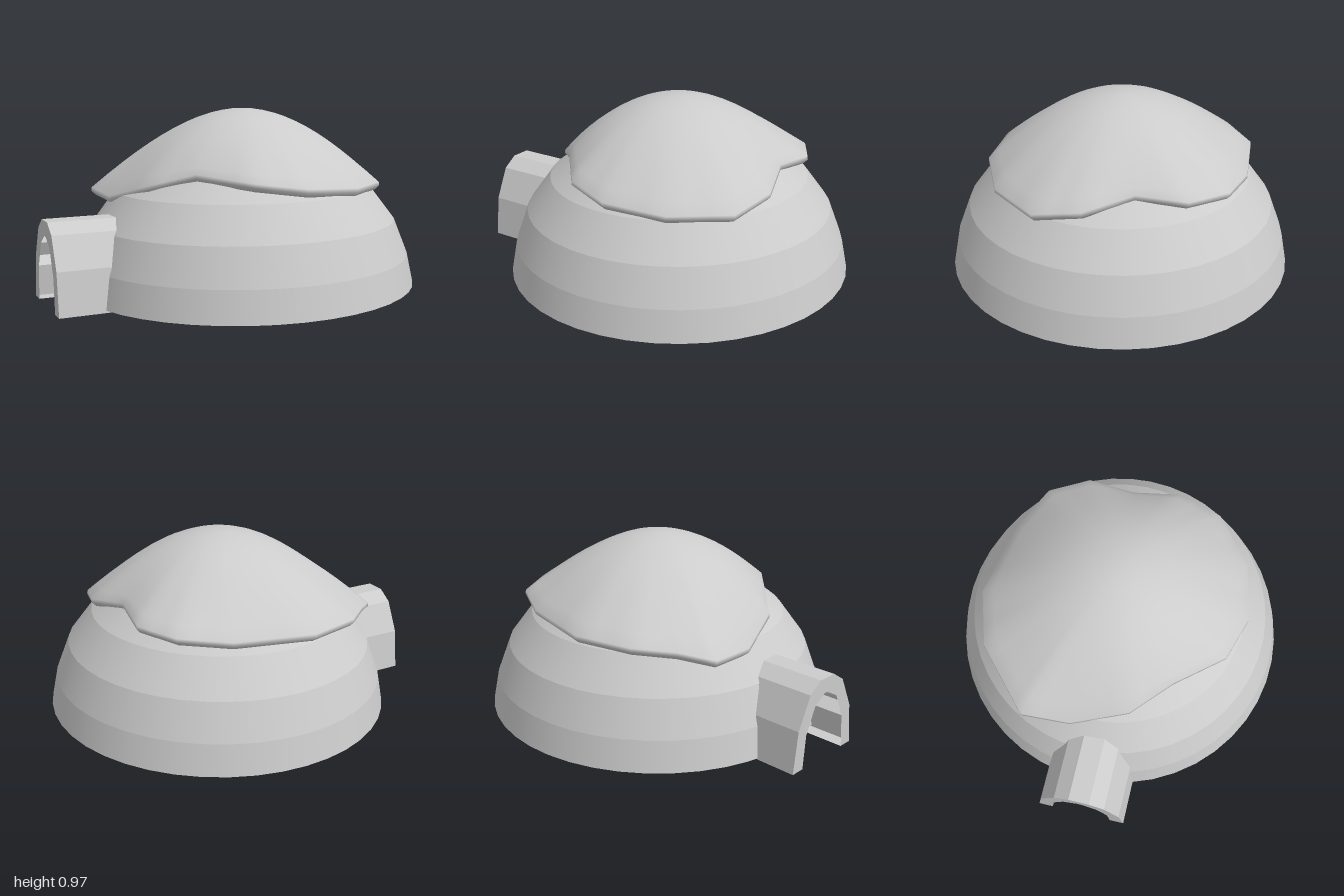
import * as THREE from 'three';

const material = new THREE.MeshStandardMaterial({ color: 0xcccccc, side: THREE.DoubleSide });
const COLUMNS = 22;
const STEP = (Math.PI * 2) / COLUMNS;
const START = THREE.MathUtils.degToRad(12.77);
const DOOR_COLUMN = 17;
const DOOR_ROWS = 2;

// Dome outline [radius, height], one entry per course of blocks
const OUTER = [[0.925, 0.022], [0.893, 0.182], [0.822, 0.37], [0.692, 0.545], [0.5, 0.69], [0.27, 0.81], [0.06, 0.865]];
const INNER = [[0.87, 0.022], [0.843, 0.17], [0.772, 0.345], [0.65, 0.51], [0.47, 0.645], [0.255, 0.76], [0.06, 0.815]];

// Rim of the snow cap [x, z, height], anticlockwise from above
const RIM = [
  [-0.42, -0.56, 0.57], [-0.63, -0.34, 0.56], [-0.7, -0.13, 0.54], [-0.76, 0.05, 0.5],
  [-0.62, 0.27, 0.485], [-0.385, 0.475, 0.565], [-0.13, 0.55, 0.635], [0.165, 0.66, 0.605],
  [0.42, 0.61, 0.575], [0.67, 0.4, 0.555], [0.8, 0.1, 0.55], [0.735, -0.14, 0.59],
  [0.545, -0.33, 0.64], [0.45, -0.57, 0.615], [0.25, -0.7, 0.605], [-0.02, -0.69, 0.58],
];

function addMesh(parent, geometry, name) {
  const mesh = new THREE.Mesh(geometry, material);
  mesh.name = name;
  parent.add(mesh);
  return mesh;
}

// Band turned round the dome, leaving out the doorway column if asked
function band(a, b, withDoor) {
  const points = [a, b].map(([r, y]) => new THREE.Vector2(r, y));
  const count = withDoor ? COLUMNS - 1 : COLUMNS;
  const start = START + (withDoor ? (DOOR_COLUMN + 1) * STEP : 0);
  return new THREE.LatheGeometry(points, count * 2, start, count * STEP);
}

function flatShape(points) {
  return new THREE.ShapeGeometry(new THREE.Shape(points.map(([x, y]) => new THREE.Vector2(x, y))));
}

// Hollow-backed blocks: an outer skin with joints reaching inwards
function buildDome() {
  const dome = new THREE.Group();
  dome.name = 'dome';
  for (let i = 0; i < OUTER.length - 1; i++) {
    addMesh(dome, band(OUTER[i], OUTER[i + 1], i < DOOR_ROWS), 'blockCourse' + (i + 1));
  }
  // Level joints between courses
  OUTER.forEach((outer, i) => {
    addMesh(dome, band(INNER[i], outer, i < DOOR_ROWS), 'courseJoint' + (i + 1));
  });
  // Crown block
  addMesh(dome, band(OUTER[OUTER.length - 1], [0, 0.88], false), 'crown');
  // Upright joints between columns
  const rib = flatShape([...OUTER, ...[...INNER].reverse()]);
  for (let k = 0; k < COLUMNS; k++) {
    addMesh(dome, rib, 'uprightJoint' + (k + 1)).rotation.y = START + k * STEP - Math.PI / 2;
  }
  dome.position.x = 0.075;
  dome.rotation.z = 0.0165;
  return dome;
}

// Flat four-cornered strip running back along z from edge a-b
function strip(a, b, depth) {
  const geometry = new THREE.BufferGeometry();
  geometry.setAttribute('position', new THREE.Float32BufferAttribute(
    [...a, 0, ...b, 0, ...b, -depth, ...a, -depth], 3));
  geometry.setIndex([0, 2, 1, 0, 3, 2]);
  geometry.computeVertexNormals();
  return geometry;
}

// Arched entrance tunnel, wall outline mirrored about its middle
function buildEntrance() {
  const tunnel = new THREE.Group();
  tunnel.name = 'entranceTunnel';
  const mirrored = (half) => [...half, ...half.map(([x, y]) => [-x, y]).reverse()];
  const outer = mirrored([[0.2425, 0], [0.215, 0.22], [0.135, 0.385], [0.055, 0.437]]);
  const inner = mirrored([[0.165, 0], [0.15, 0.18], [0.09, 0.31], [0.015, 0.358]]);
  const depth = 0.45;
  for (let i = 0; i < outer.length - 1; i++) {
    addMesh(tunnel, strip(outer[i], outer[i + 1], depth), 'tunnelPanel' + (i + 1));
  }
  outer.forEach((p, i) => addMesh(tunnel, strip(p, inner[i], depth), 'tunnelJoint' + (i + 1)));
  // Arched faces at the front, between the two block rings and at the back
  const arch = flatShape([...outer, ...[...inner].reverse()]);
  [0, 0.3, depth].forEach((z, i) => {
    addMesh(tunnel, arch, 'tunnelArch' + (i + 1)).position.z = -z;
  });
  tunnel.position.set(-0.883, 0, 0.573);
  tunnel.rotation.y = Math.atan2(-0.876, 0.484);
  return tunnel;
}

// Radius of the dome's outer skin at a height
function domeRadius(y) {
  const i = OUTER.findIndex((p) => p[1] > y);
  const [r0, y0] = OUTER[i - 1], [r1, y1] = OUTER[i];
  return THREE.MathUtils.mapLinear(y, y0, y1, r0, r1);
}

// Rounded snow cap: rings that pass from a round top to the ragged rim
function buildSnowCap() {
  const cx = 0.065, top = 0.97, lip = 0.035, rings = 12, split = 3;
  const n = RIM.length * split;
  const rim = Array.from({ length: n }, (_, j) => {
    const a = RIM[Math.floor(j / split)];
    const b = RIM[(Math.floor(j / split) + 1) % RIM.length];
    const [x, z, y] = a.map((v, k) => THREE.MathUtils.lerp(v, b[k], (j % split) / split));
    const radius = Math.hypot(x - cx, z);
    return { radius, dx: (x - cx) / radius, dz: z / radius, y };
  });
  const position = [], index = [];
  const addRing = (place) => rim.forEach((p) => {
    const [r, y] = place(p);
    position.push(cx + p.dx * r, y, p.dz * r);
  });
  for (let i = 0; i <= rings; i++) {
    const t = i / rings;
    addRing((p) => [
      t * THREE.MathUtils.lerp(0.71, p.radius, t * t),
      top - Math.pow(t, 1.95) * THREE.MathUtils.lerp(0.41, top - p.y - lip, t * t),
    ]);
  }
  // Lip and underside, tucked just inside the dome's skin
  addRing((p) => [p.radius + 0.002, p.y + 0.015]);
  addRing((p) => [p.radius - 0.02, p.y - 0.006]);
  addRing((p) => [Math.min(p.radius - 0.03, domeRadius(p.y) - 0.02), p.y + 0.01]);
  for (let i = 0; i < rings + 3; i++) {
    for (let j = 0; j < n; j++) {
      const k = (j + 1) % n;
      const a = i * n + j, b = a + n, c = (i + 1) * n + k, d = i * n + k;
      index.push(a, b, c);
      if (i > 0) index.push(a, c, d);
    }
  }
  const geometry = new THREE.BufferGeometry();
  geometry.setAttribute('position', new THREE.Float32BufferAttribute(position, 3));
  geometry.setIndex(index);
  geometry.computeVertexNormals();
  // One shared upward normal at the peak
  for (let j = 0; j < n; j++) geometry.attributes.normal.setXYZ(j, 0, 1, 0);
  const cap = new THREE.Mesh(geometry, material);
  cap.name = 'snowCap';
  return cap;
}

export function createModel() {
  const model = new THREE.Group();
  model.name = 'snowHouse';
  model.add(buildDome(), buildEntrance(), buildSnowCap());
  return model;
}
